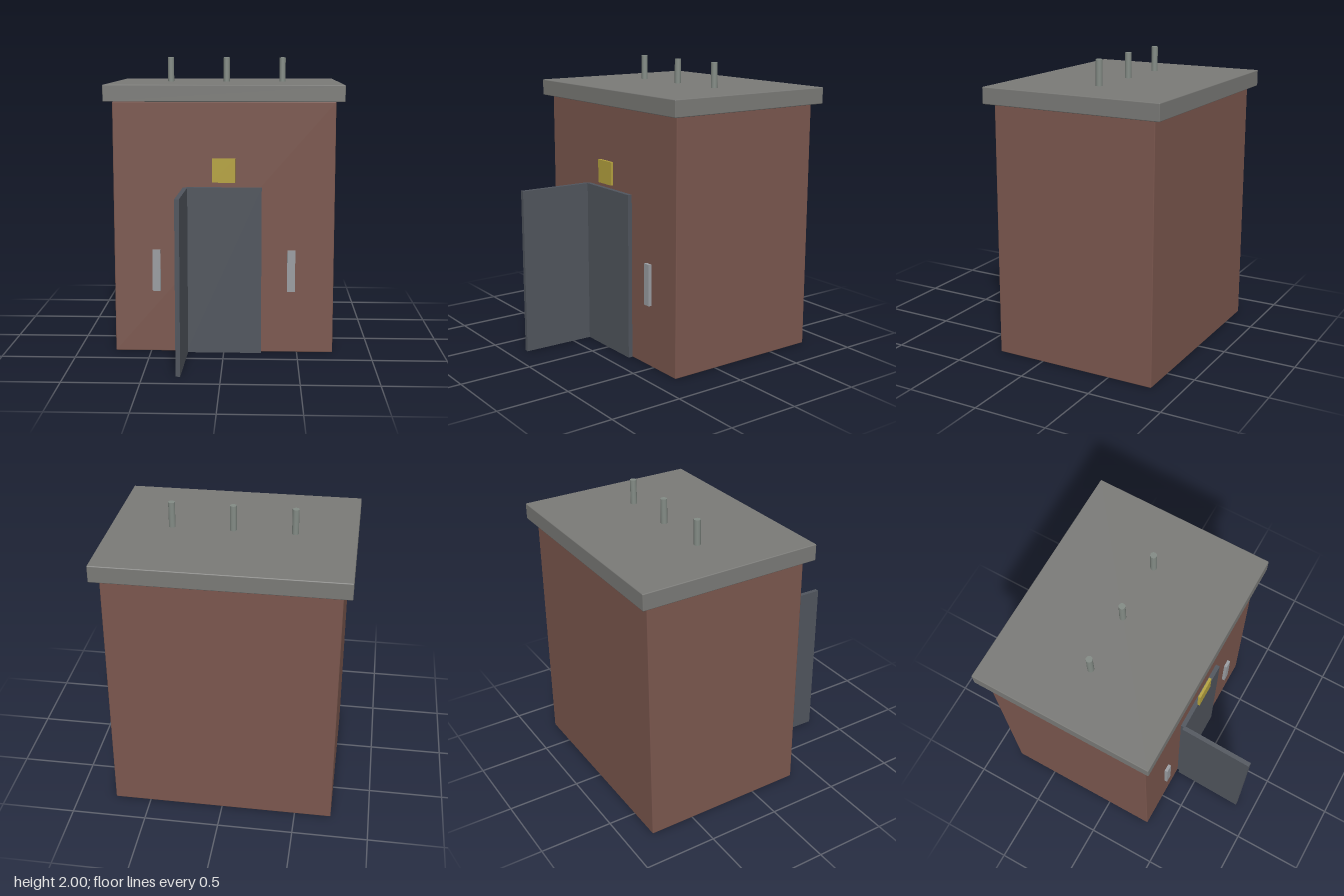
import * as THREE from 'three';
import { RoundedBoxGeometry } from 'three/addons/geometries/RoundedBoxGeometry.js';

const paint = (color) => new THREE.MeshStandardMaterial({ color });

export function createModel() {
  const model = new THREE.Group();
  const brick = paint(0x7b574e);
  const concrete = paint(0x7a7a77);
  const steel = paint(0x50555d);
  const yellow = paint(0xb5a23e);
  const lightGrey = paint(0x9a9da1);
  const pipeGrey = paint(0x838b85);

  const add = (name, geometry, material, x, y, z) => {
    const mesh = new THREE.Mesh(geometry, material);
    mesh.name = name;
    mesh.position.set(x, y, z);
    model.add(mesh);
    return mesh;
  };
  const box = (w, h, d) => new THREE.BoxGeometry(w, h, d);
  // Box with a small chamfer on its edges
  const softBox = (w, h, d) => new RoundedBoxGeometry(w, h, d, 1, 0.006);

  // Brick hut and overhanging roof slab
  add('walls', softBox(1.49, 1.715, 1.145), brick, 0, 0.8575, -0.2375);
  add('roofSlab', softBox(1.6, 0.112, 1.255), concrete, 0, 1.773, -0.2375);

  // Closed door leaf, and the other leaf swung open on its hinge
  add('closedDoor', box(0.51, 1.143, 0.03), steel, 0, 0.5715, 0.35);
  const openDoor = add('openDoor', box(0.03, 1.143, 0.515), steel, -0.266, 0.5715, 0.613);
  openDoor.rotation.y = -0.027;

  // Sign plate above the door
  add('signPlate', box(0.156, 0.16, 0.018), yellow, 0, 1.26, 0.373);

  // Slim wall plates on either side of the door
  for (const side of [-1, 1]) {
    add(side > 0 ? 'leftWallPlate' : 'rightWallPlate',
      box(0.054, 0.284, 0.022), lightGrey, side * 0.457, 0.573, 0.35);
  }

  // Row of roof pipes
  for (const x of [-0.4, 0, 0.4]) {
    add('roofPipe', new THREE.CylinderGeometry(0.022, 0.022, 0.18, 12), pipeGrey, x, 1.91, -0.24);
  }

  return model;
}
